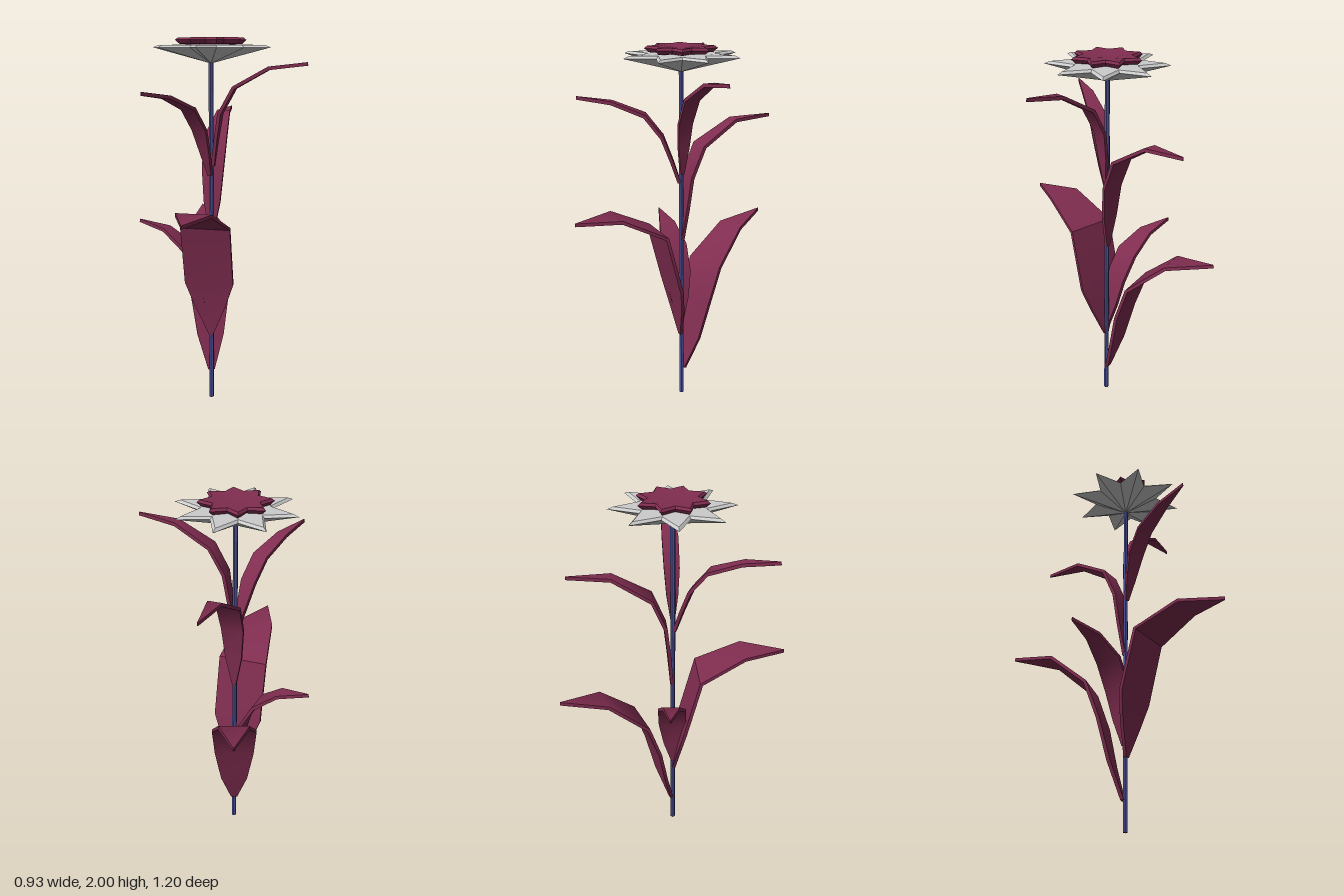
import * as THREE from 'three';
import { toCreasedNormals } from 'three/addons/utils/BufferGeometryUtils.js';

const STEM_X = -0.045;
const leafMat = new THREE.MeshStandardMaterial({ color: 0x802d50 });
const stemMat = new THREE.MeshStandardMaterial({ color: 0x4a4f96 });
const petalMat = new THREE.MeshStandardMaterial({ color: 0xcccccc });

function indexed(positions, faces, crease) {
  const g = new THREE.BufferGeometry();
  g.setAttribute('position', new THREE.Float32BufferAttribute(positions, 3));
  g.setIndex(faces);
  return toCreasedNormals(g, crease);
}

// Bent blade along +x; stations are [reach, height, half width]
function leafGeometry(stations, thickness = 0.018) {
  const pos = [], faces = [], n = stations.length;
  stations.forEach(([r, y, w], i) => {
    const a = stations[Math.max(i - 1, 0)], b = stations[Math.min(i + 1, n - 1)];
    const len = Math.hypot(b[0] - a[0], b[1] - a[1]);
    const nx = -(b[1] - a[1]) / len * thickness / 2;
    const ny = (b[0] - a[0]) / len * thickness / 2;
    const h = Math.max(w, 0.002);
    pos.push(r + nx, y + ny, h, r + nx, y + ny, -h, r - nx, y - ny, -h, r - nx, y - ny, h);
  });
  for (let i = 0; i < n - 1; i++) {
    for (let k = 0; k < 4; k++) {
      const a = i * 4 + k, b = i * 4 + (k + 1) % 4;
      faces.push(a, a + 4, b, b, a + 4, b + 4);
    }
  }
  const e = (n - 1) * 4;
  faces.push(0, 1, 2, 0, 2, 3, e, e + 2, e + 1, e, e + 3, e + 2);
  return indexed(pos, faces, 0.7);
}

// Eight-pointed star lofted upward; rings are [tip radius, notch radius, height]
function starGeometry(bottomY, rings, topY, turn) {
  const pos = [0, bottomY, 0], faces = [], n = 16;
  for (const [tip, notch, y] of rings) {
    for (let i = 0; i < n; i++) {
      const a = i / n * Math.PI * 2 + turn, r = i % 2 ? notch : tip;
      pos.push(Math.cos(a) * r, y, Math.sin(a) * r);
    }
  }
  const top = pos.length / 3;
  pos.push(0, topY, 0);
  for (let i = 0; i < n; i++) {
    const j = (i + 1) % n;
    faces.push(0, 1 + i, 1 + j);
    for (let k = 0; k < rings.length - 1; k++) {
      const a = 1 + k * n + i, b = 1 + k * n + j;
      faces.push(a, a + n, b, b, a + n, b + n);
    }
    const last = 1 + (rings.length - 1) * n;
    faces.push(last + i, top, last + j);
  }
  return indexed(pos, faces, 0.5);
}

export function createModel() {
  const plant = new THREE.Group();
  plant.name = 'flower';
  const add = (name, geometry, material) => {
    const mesh = new THREE.Mesh(geometry, material);
    mesh.name = name;
    mesh.position.x = STEM_X;
    plant.add(mesh);
    return mesh;
  };

  // Stem
  const stem = add('stem', new THREE.CylinderGeometry(0.013, 0.013, 1.88, 6), stemMat);
  stem.material.flatShading = true;
  stem.position.y = 0.94;

  // Leaves: direction on the ground as [x, z], then the blade stations
  const leaves = [
    ['lowerFrontLeaf', [0, 1], [[0.005, 0.38, 0.012], [0.03, 0.55, 0.085], [0.055, 0.69, 0.135],
      [0.14, 1.02, 0.135], [0.375, 1.135, 0.095], [0.6, 1.125, 0]]],
    ['lowerBackLeaf', [-0.2, -0.6], [[0.012, 0.16, 0.018], [0.07, 0.35, 0.075], [0.12, 0.57, 0.108],
      [0.19, 0.77, 0.12], [0.395, 0.945, 0.08], [0.632, 0.99, 0]]],
    ['lowerRightLeaf', [-0.425, -0.05], [[0.01, 0.44, 0.01], [0.035, 0.58, 0.05], [0.065, 0.73, 0.075],
      [0.14, 0.87, 0.075], [0.265, 0.965, 0.045], [0.428, 1.0, 0]]],
    ['upperBackLeaf', [-0.005, -0.535], [[0.005, 0.95, 0.01], [0.02, 1.13, 0.045], [0.04, 1.31, 0.06],
      [0.11, 1.475, 0.063], [0.31, 1.595, 0.037], [0.535, 1.603, 0]]],
    ['upperFrontLeaf', [-0.22, 0.495], [[0.01, 1.28, 0.01], [0.05, 1.4, 0.03], [0.1, 1.53, 0.045],
      [0.19, 1.645, 0.045], [0.36, 1.712, 0.03], [0.542, 1.737, 0]]],
    ['upperLeftLeaf', [0.505, -0.012], [[0.01, 1.33, 0.01], [0.028, 1.47, 0.03], [0.05, 1.61, 0.04],
      [0.125, 1.745, 0.042], [0.305, 1.845, 0.03], [0.505, 1.868, 0]]],
  ];
  for (const [name, [dx, dz], stations] of leaves) {
    add(name, leafGeometry(stations), leafMat).rotation.y = Math.atan2(-dz, dx);
  }

  // Flower head: pale outer star with a bevelled rim, dark inner star on top
  add('outerPetals', starGeometry(1.868,
    [[0.315, 0.18, 1.95], [0.285, 0.165, 1.962]], 1.966, 0), petalMat);
  add('innerPetals', starGeometry(1.955,
    [[0.165, 0.11, 1.968], [0.187, 0.13, 1.988], [0.172, 0.12, 2.0]], 1.985, Math.PI / 8), leafMat);

  return plant;
}
